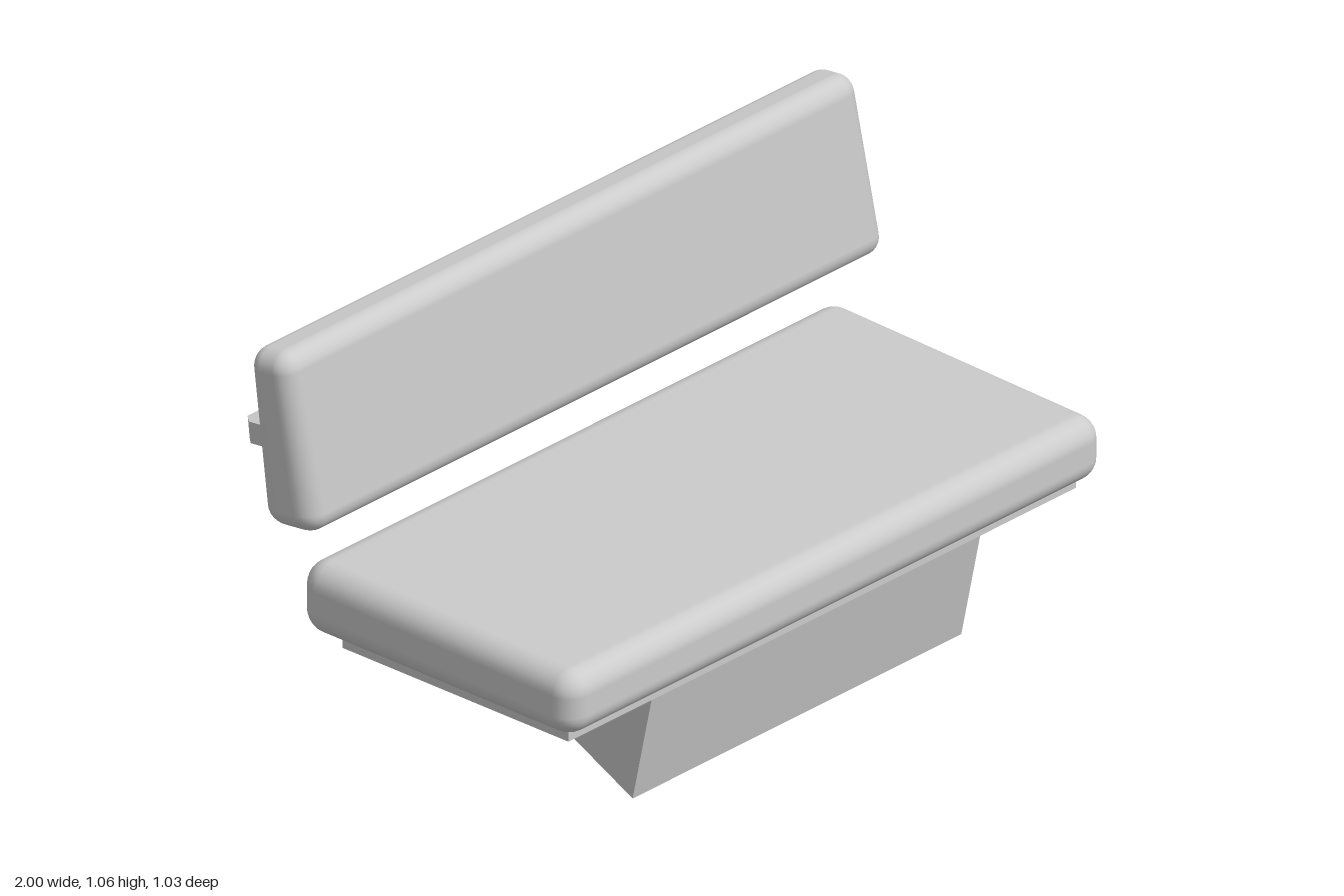
import * as THREE from 'three';
import { RoundedBoxGeometry } from 'three/addons/geometries/RoundedBoxGeometry.js';

const material = new THREE.MeshStandardMaterial({ color: 0xcccccc });
const thinMaterial = new THREE.MeshStandardMaterial({ color: 0xcccccc, side: THREE.DoubleSide });

function addMesh(parent, name, geometry, x = 0, y = 0, z = 0, mat = material) {
  const mesh = new THREE.Mesh(geometry, mat);
  mesh.name = name;
  mesh.position.set(x, y, z);
  parent.add(mesh);
  return mesh;
}

// Rounded box whose vertices are moved by a rule, for tapered padding
function taperedCushion(w, h, d, radius, rule) {
  const geometry = new RoundedBoxGeometry(w, h, d, 4, radius);
  const p = geometry.attributes.position;
  const v = new THREE.Vector3();
  for (let i = 0; i < p.count; i++) {
    v.fromBufferAttribute(p, i);
    rule(v);
    p.setXYZ(i, v.x, v.y, v.z);
  }
  return geometry;
}

// Flat panel from a fan of corners
function panel(corners) {
  const geometry = new THREE.BufferGeometry().setFromPoints(corners.map((c) => new THREE.Vector3(...c)));
  const index = [];
  for (let i = 1; i < corners.length - 1; i++) index.push(0, i, i + 1);
  geometry.setIndex(index);
  geometry.computeVertexNormals();
  return geometry;
}

export function createModel() {
  const model = new THREE.Group();
  model.name = 'benchSeat';

  // Seat cushion, slightly thicker towards the back
  const seat = taperedCushion(1.86, 0.174, 0.867, 0.06, (v) => {
    const t = (v.y + 0.087) / 0.174;
    v.y += t * (-0.028 * v.z + 0.002);
  });
  addMesh(model, 'seatCushion', seat, 0, 0.407, 0.0785);

  // Seat board and the small bar under its rear edge
  addMesh(model, 'seatBoard', new THREE.BoxGeometry(1.76, 0.029, 0.715), 0, 0.3085, 0.1025);
  const bar = addMesh(model, 'rearBar', new THREE.BoxGeometry(0.5, 0.012, 0.04), 0.48, 0.334, -0.328);
  bar.rotation.x = 0.6;

  // Open support: a leaning front panel with two triangular sides
  const support = new THREE.Group();
  support.name = 'support';
  model.add(support);
  const w = 0.57, top = 0.295;
  addMesh(support, 'frontPanel',
    panel([[-w, 0, 0.38], [w, 0, 0.38], [w, top, 0.443], [-w, top, 0.443]]), 0, 0, 0, thinMaterial);
  for (const s of [1, -1]) {
    addMesh(support, s > 0 ? 'leftSidePanel' : 'rightSidePanel',
      panel([[s * w, 0, 0.38], [s * w, top, -0.205], [s * w, top, 0.443]]), 0, 0, 0, thinMaterial);
  }

  // Leaning backrest, thinner towards the top
  const backrest = new THREE.Group();
  backrest.name = 'backrest';
  backrest.position.set(0, 0.84, -0.357);
  backrest.rotation.x = -0.113;
  model.add(backrest);
  const depth = 0.147;
  addMesh(backrest, 'backCushion', taperedCushion(2, 0.45, depth, 0.05, (v) => {
    const t = (depth - 0.12 * v.y) / depth;
    v.z = -depth / 2 + (v.z + depth / 2) * t;
  }));

  // Chamfered mounting tabs on the rear of the backrest
  const outline = [[0.82, 0.05], [0.95, 0.05], [0.95, 0.13], [0.925, 0.156], [0.865, 0.156], [0.82, 0.117]];
  for (const s of [1, -1]) {
    const shape = new THREE.Shape(outline.map(([x, d]) => new THREE.Vector2(s * x, d)));
    const tab = new THREE.ExtrudeGeometry(shape, { depth: 0.055, bevelEnabled: false });
    tab.rotateX(-Math.PI / 2);
    addMesh(backrest, s > 0 ? 'leftTab' : 'rightTab', tab, 0, -0.046, 0);
  }

  return model;
}
